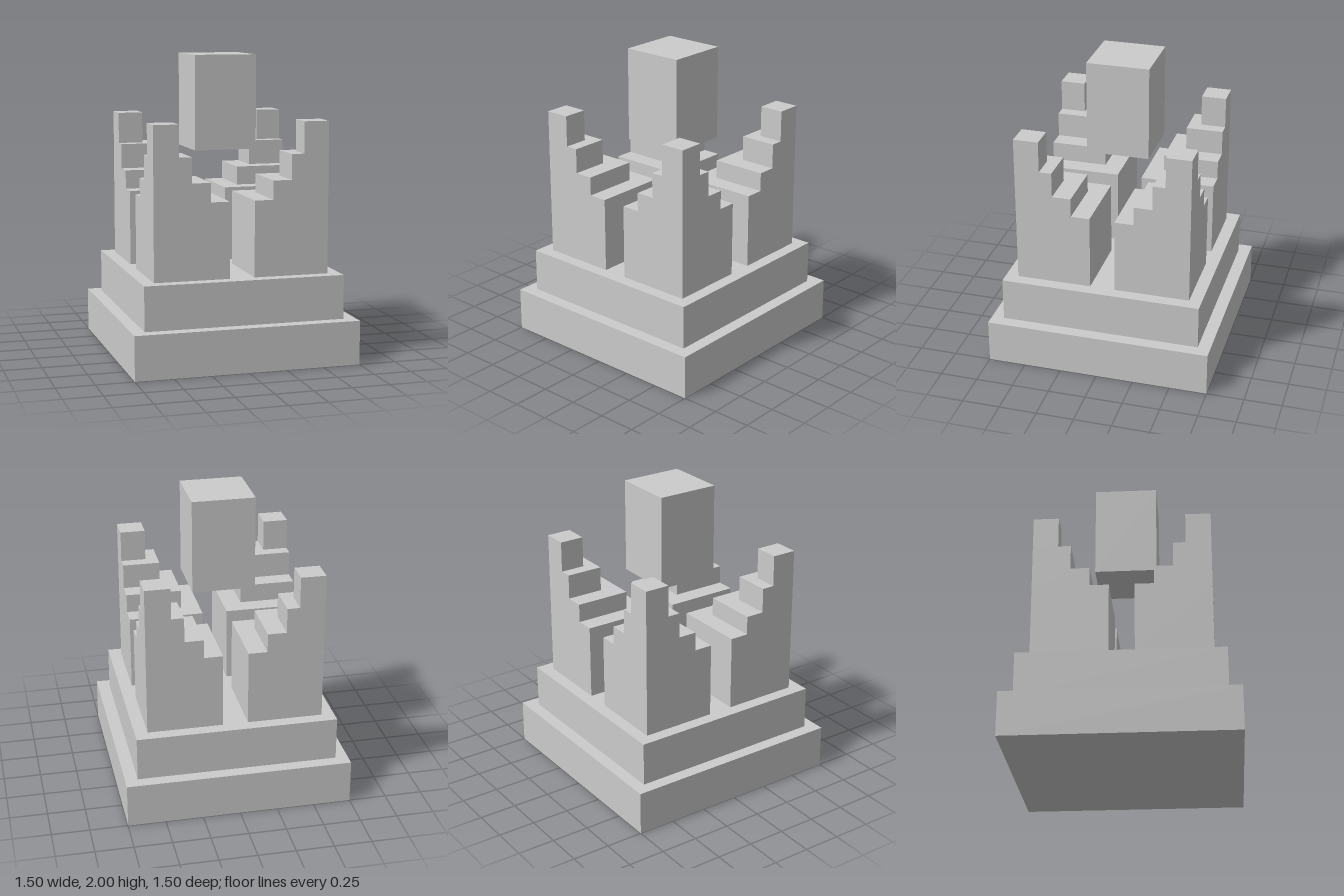
import * as THREE from 'three';

const U = 1 / 12; // modular unit all sizes are multiples of
const material = new THREE.MeshStandardMaterial({ color: 0xcccccc, flatShading: true });

// Square block of a given side, standing between two heights (in units)
function block(name, side, bottom, top, x = 0, z = 0) {
  const geometry = new THREE.BoxGeometry(side * U, (top - bottom) * U, side * U);
  const mesh = new THREE.Mesh(geometry, material);
  mesh.name = name;
  mesh.position.set(x * U, ((bottom + top) / 2) * U, z * U);
  return mesh;
}

// Tower stepping up towards its outer corner, sx and sz choose the corner
function cornerTower(name, sx, sz) {
  const tower = new THREE.Group();
  tower.name = name;
  const outer = 7;
  const steps = [ // inner edge, top height
    [1, 13],
    [2.5, 14.5],
    [4, 16.5],
    [5, 19],
  ];
  let bottom = 7;
  steps.forEach(([inner, top], i) => {
    const centre = (inner + outer) / 2;
    tower.add(block(`towerStep${i + 1}`, outer - inner, bottom, top, sx * centre, sz * centre));
    bottom = top;
  });
  return tower;
}

export function createModel() {
  const model = new THREE.Group();
  model.name = 'steppedMonument';

  // Two-tier plinth
  model.add(block('lowerPlinth', 18, 0, 3.5));
  model.add(block('upperPlinth', 16, 3.5, 7));

  // Four mirrored corner towers
  for (const [xName, sx] of [['Left', 1], ['Right', -1]]) {
    for (const [zName, sz] of [['front', 1], ['back', -1]]) {
      model.add(cornerTower(`${zName}${xName}Tower`, sx, sz));
    }
  }

  // Block floating above the middle
  model.add(block('floatingBlock', 5, 16.5, 24));
  return model;
}
